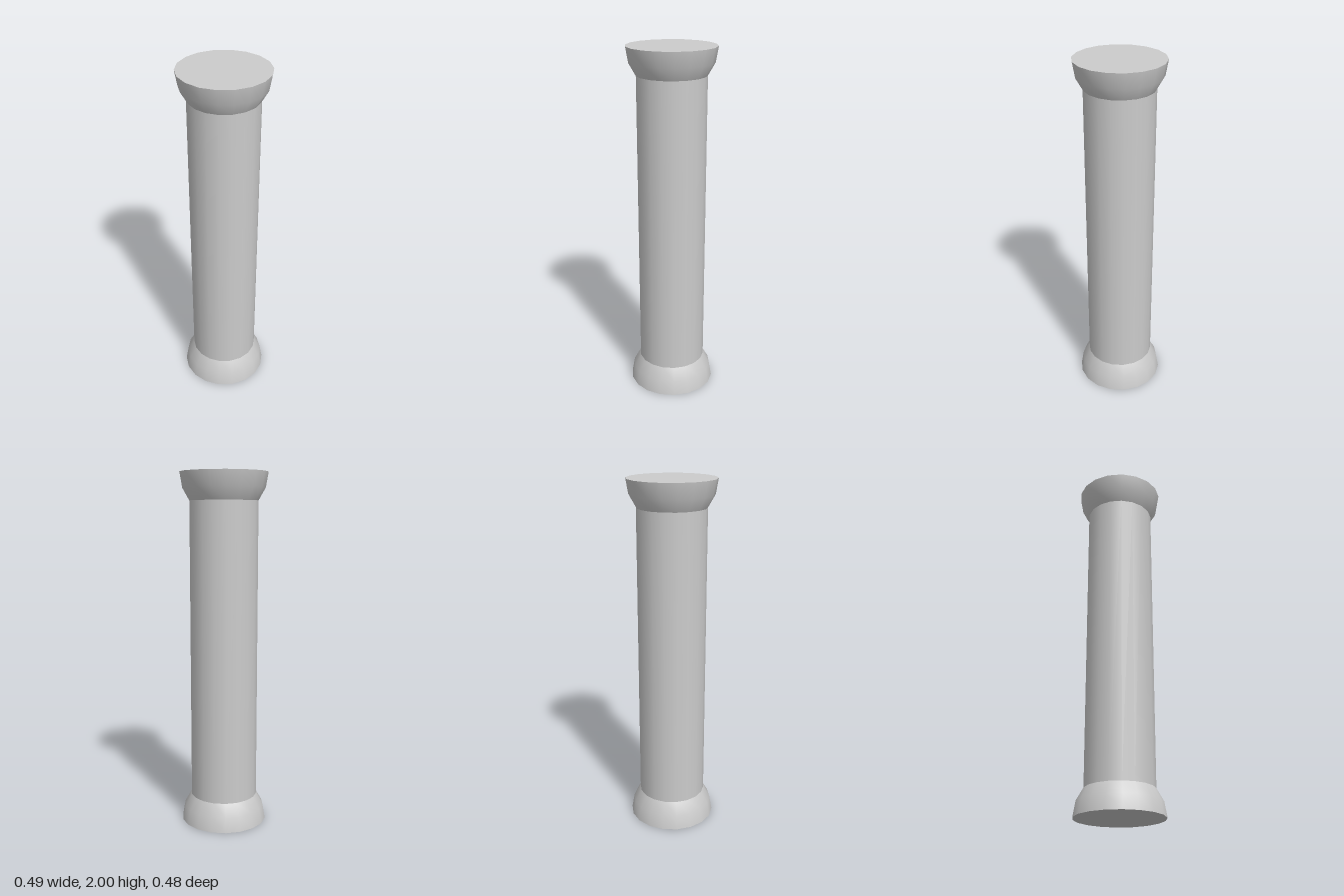
import * as THREE from 'three';

const SIDES = 18;
const HEIGHT = 2;
const SHAFT_RADIUS = 0.192;
const KNOB_RADIUS = 0.246;
const KNOB_HEIGHT = 0.153;

const material = new THREE.MeshStandardMaterial({ color: 0xcccccc });

function addMesh(parent, geometry, name) {
  const mesh = new THREE.Mesh(geometry, material);
  mesh.name = name;
  parent.add(mesh);
  return mesh;
}

// Slice of a sphere with a flat outer face, standing on y = 0
function createKnob(name) {
  const knob = new THREE.Group();
  knob.name = name;
  const ring = THREE.MathUtils.degToRad(20);
  const profile = [
    new THREE.Vector2(KNOB_RADIUS, 0),
    new THREE.Vector2(KNOB_RADIUS * Math.cos(ring), KNOB_RADIUS * Math.sin(ring)),
    new THREE.Vector2(SHAFT_RADIUS, KNOB_HEIGHT),
  ];
  addMesh(knob, new THREE.LatheGeometry(profile, SIDES, Math.PI / 2), name + 'Side');
  const face = new THREE.CircleGeometry(KNOB_RADIUS, SIDES).rotateX(Math.PI / 2);
  addMesh(knob, face, name + 'Face');
  return knob;
}

export function createModel() {
  const model = new THREE.Group();
  model.name = 'column';

  // Straight shaft between the two knobs
  const shaft = addMesh(
    model,
    new THREE.CylinderGeometry(
      SHAFT_RADIUS, SHAFT_RADIUS, HEIGHT - 2 * KNOB_HEIGHT, SIDES, 1, true, Math.PI / 2),
    'shaft');
  shaft.position.y = HEIGHT / 2;

  // Base, and the same shape turned over as the top
  const base = createKnob('base');
  const capital = createKnob('capital');
  capital.rotation.x = Math.PI;
  capital.position.y = HEIGHT;
  model.add(base, capital);

  return model;
}
